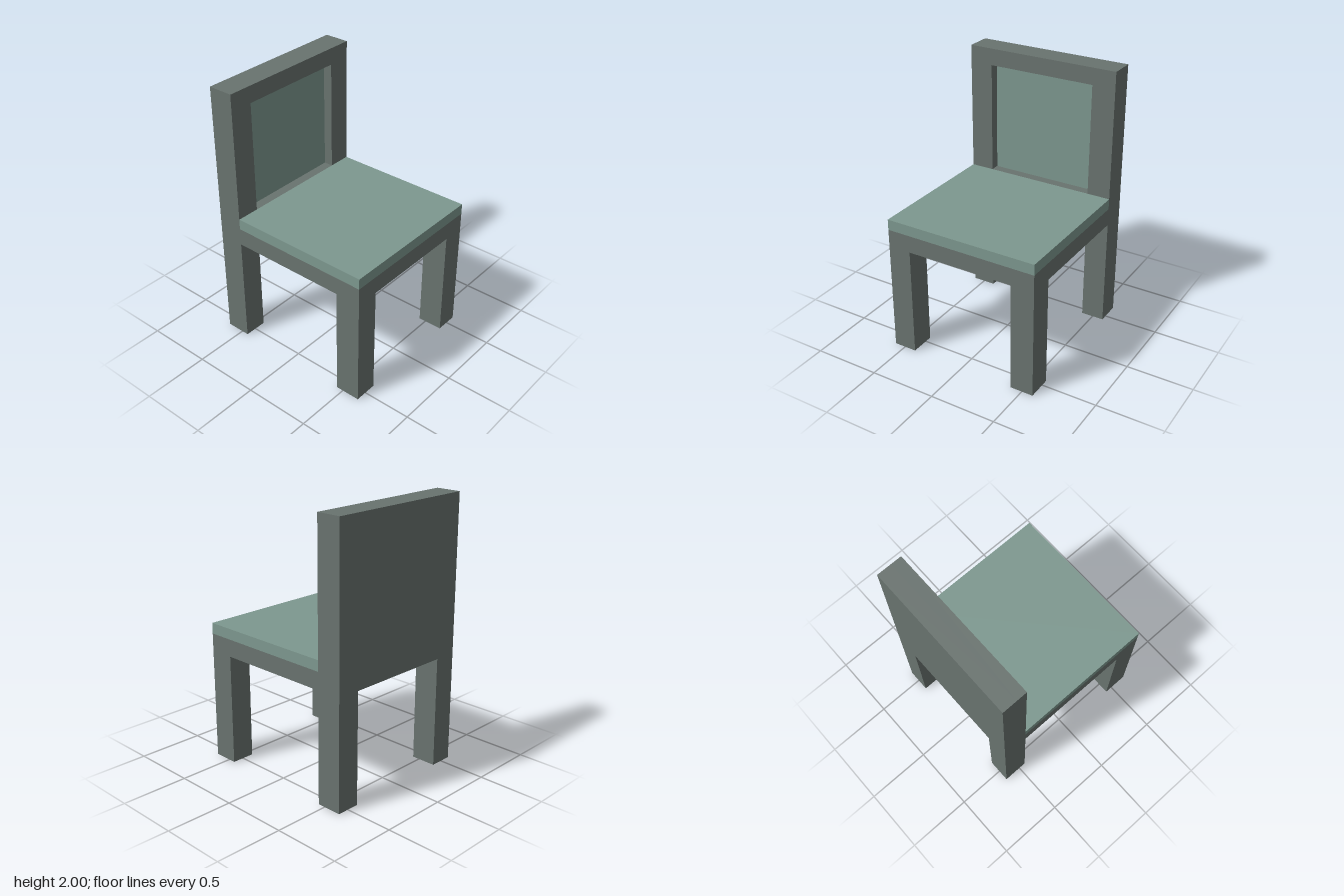
import * as THREE from 'three';

const WOOD = new THREE.MeshStandardMaterial({ color: 0x69736f });
const FABRIC = new THREE.MeshStandardMaterial({ color: 0x7d988f });

// Main dimensions
const X = 0.585, Z = 0.635;            // half width, half depth
const INNER_X = 0.41, INNER_Z = 0.445; // inner faces of the legs
const RAIL = 0.83, SEAT = 0.96, SEAT_TOP = 1.04, TOP = 2;
const RECESS_TOP = 1.875, RECESS_Z = -0.515;

// Box given by its minimum and maximum corners
function block(name, material, [x0, y0, z0], [x1, y1, z1]) {
  const geometry = new THREE.BoxGeometry(x1 - x0, y1 - y0, z1 - z0);
  const mesh = new THREE.Mesh(geometry, material);
  mesh.position.set((x0 + x1) / 2, (y0 + y1) / 2, (z0 + z1) / 2);
  mesh.name = name;
  return mesh;
}

function rectangle(target, x, y0, y1) {
  target.moveTo(-x, y0).lineTo(x, y0).lineTo(x, y1).lineTo(-x, y1).closePath();
  return target;
}

export function createModel() {
  const chair = new THREE.Group();
  chair.name = 'chair';

  // Four square legs
  for (const [side, sx] of [['Left', 1], ['Right', -1]]) {
    for (const [end, sz] of [['front', 1], ['back', -1]]) {
      const xs = [sx * INNER_X, sx * X].sort((a, b) => a - b);
      const zs = [sz * INNER_Z, sz * Z].sort((a, b) => a - b);
      chair.add(block(`${end}${side}Leg`, WOOD, [xs[0], 0, zs[0]], [xs[1], RAIL, zs[1]]));
    }
  }

  // Seat base and cushion
  chair.add(block('seatFrame', WOOD, [-X, RAIL, -INNER_Z], [X, SEAT, Z]));
  chair.add(block('seatCushion', FABRIC, [-X, SEAT, -INNER_Z], [X, SEAT_TOP, Z]));

  // Backrest: solid board, raised border in front and a recessed panel
  chair.add(block('backBoard', WOOD, [-X, RAIL, -Z], [X, TOP, RECESS_Z - 0.01]));
  const border = rectangle(new THREE.Shape(), X, RAIL, TOP);
  border.holes.push(rectangle(new THREE.Path(), INNER_X, SEAT_TOP, RECESS_TOP));
  const frame = new THREE.Mesh(
    new THREE.ExtrudeGeometry(border, { depth: -INNER_Z - RECESS_Z + 0.01, bevelEnabled: false }),
    WOOD
  );
  frame.position.z = RECESS_Z - 0.01;
  frame.name = 'backFrame';
  chair.add(frame);
  chair.add(block('backPanel', FABRIC,
    [-INNER_X, SEAT_TOP, RECESS_Z - 0.01], [INNER_X, RECESS_TOP, RECESS_Z]));

  return chair;
}
